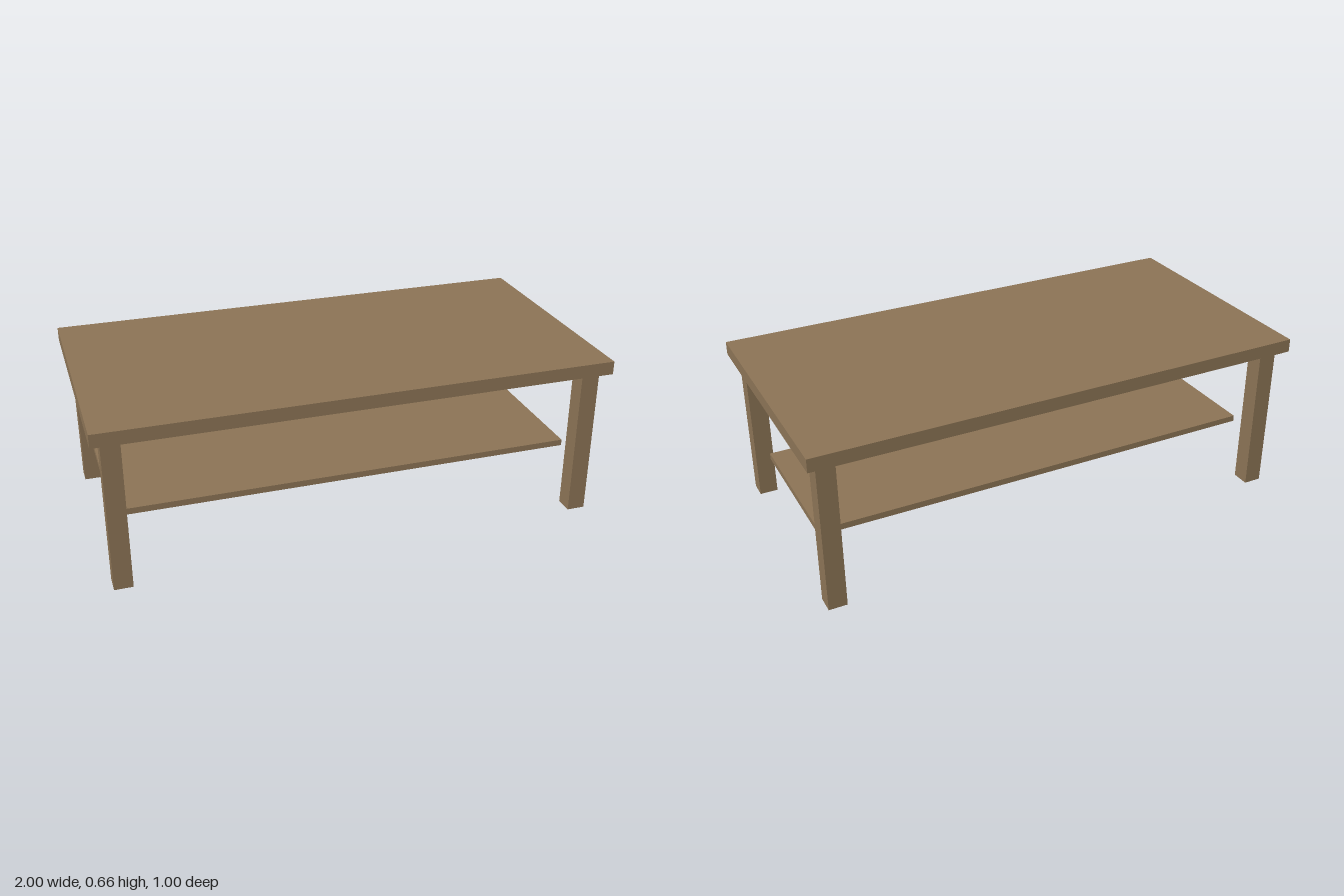
import * as THREE from 'three';

export function createModel() {
  const group = new THREE.Group();
  const wood = new THREE.MeshStandardMaterial({ color: 0x8b7355 });

  // Box named after its part, resting on height y
  const addBoard = (name, width, height, depth, x, y, z) => {
    const mesh = new THREE.Mesh(new THREE.BoxGeometry(width, height, depth), wood);
    mesh.name = name;
    mesh.position.set(x, y + height / 2, z);
    group.add(mesh);
  };

  const legHeight = 0.61;
  const legWidth = 0.072;

  addBoard('tableTop', 2, 0.053, 1, 0, legHeight, 0);
  addBoard('lowerShelf', 1.852, 0.025, 0.6, 0, 0.211, 0);

  // Four square legs, inset from the corners
  for (const [sideName, sx] of [['Left', 1], ['Right', -1]]) {
    for (const [endName, sz] of [['front', 1], ['back', -1]]) {
      addBoard(`${endName}${sideName}Leg`, legWidth, legHeight, legWidth, sx * 0.927, 0, sz * 0.427);
    }
  }

  return group;
}
